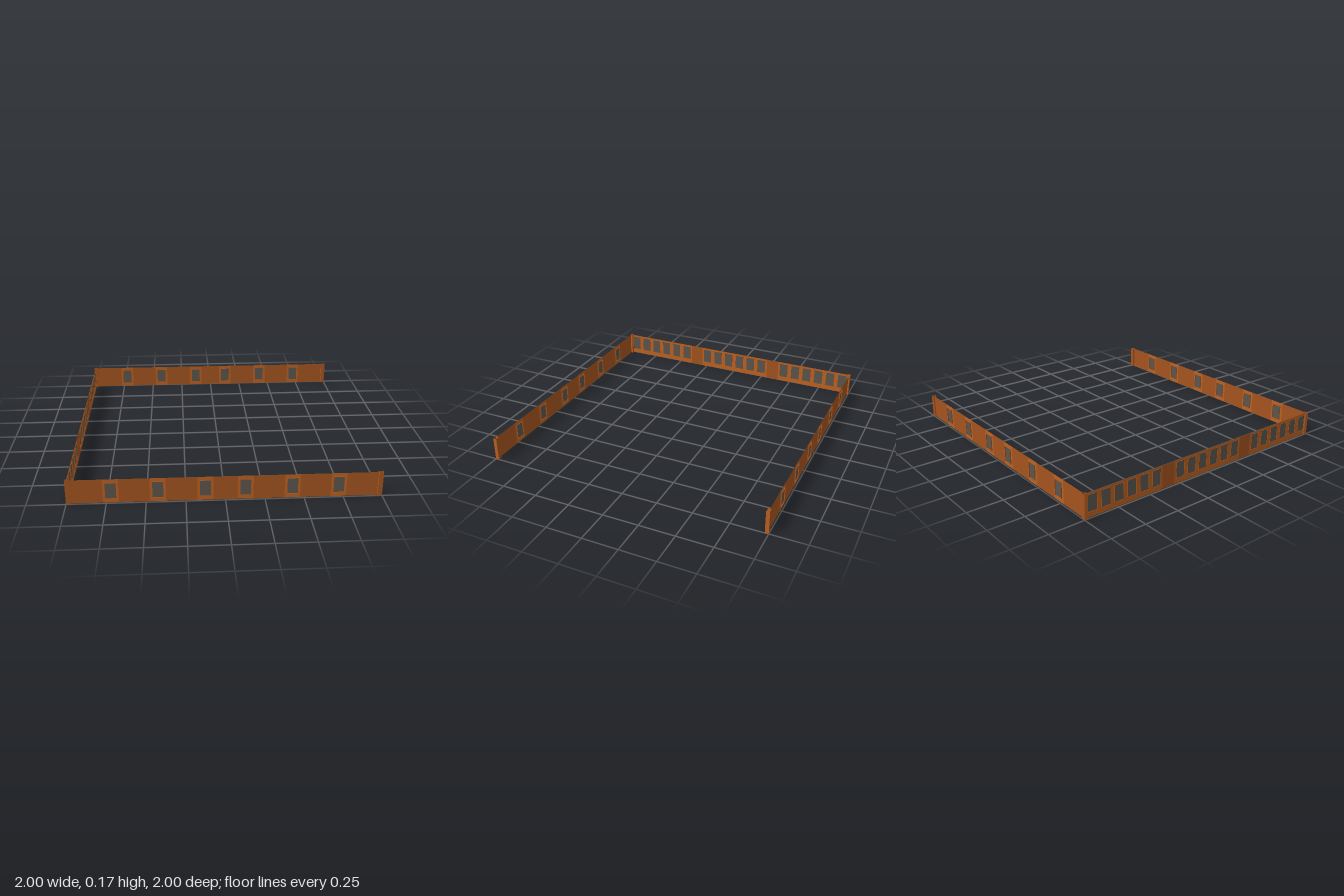
import * as THREE from 'three';

const H = 0.165;          // wall height
const PANEL = 0.1;        // width of one window panel

const paint = (name, color) => {
  const m = new THREE.MeshStandardMaterial({ color, side: THREE.DoubleSide });
  m.name = name;
  return m;
};

export function createModel() {
  const brown = paint('brown wall', 0xa3541f);
  const orange = paint('orange trim', 0xbf6120);
  const grey = paint('grey glass', 0x5c554e);

  const add = (parent, name, geometry, material, x = 0, y = 0, z = 0) => {
    const mesh = new THREE.Mesh(geometry, material);
    mesh.name = name;
    mesh.position.set(x, y, z);
    parent.add(mesh);
    return mesh;
  };

  // Thin upright sheet from x0 to x1
  const sheet = (parent, x0, x1) => {
    if (x1 - x0 > 0.002) {
      add(parent, 'plainWall', new THREE.PlaneGeometry(x1 - x0, H), brown, (x0 + x1) / 2, H / 2);
    }
  };

  // Panel with a framed opening and a pane of glass
  const windowPanel = (x, width, w, y0, y1, depth) => {
    const g = new THREE.Group();
    g.name = 'windowPanel';
    g.position.x = x;
    const h = y1 - y0, mid = (y0 + y1) / 2;
    const shape = new THREE.Shape([
      new THREE.Vector2(-width / 2, 0), new THREE.Vector2(width / 2, 0),
      new THREE.Vector2(width / 2, H), new THREE.Vector2(-width / 2, H)]);
    shape.holes.push(new THREE.Path([
      new THREE.Vector2(-w / 2, y0), new THREE.Vector2(-w / 2, y1),
      new THREE.Vector2(w / 2, y1), new THREE.Vector2(w / 2, y0)]));
    add(g, 'surround', new THREE.ShapeGeometry(shape), orange);
    add(g, 'glass', new THREE.PlaneGeometry(w, h), grey, 0, mid);
    for (const s of [-1, 1]) {
      add(g, 'sill', new THREE.PlaneGeometry(w, depth), brown, 0, mid + s * h / 2).rotation.x = -Math.PI / 2;
      add(g, 'jamb', new THREE.PlaneGeometry(depth, h), brown, s * w / 2, mid).rotation.y = Math.PI / 2;
    }
    return g;
  };

  // Wall along x: window panels with plain sheets filling the gaps
  const wall = (name, start, end, centres, width, w, y0, y1, depth) => {
    const g = new THREE.Group();
    g.name = name;
    let x = start;
    for (const c of centres) {
      sheet(g, x, c - width / 2);
      g.add(windowPanel(c, width, w, y0, y1, depth));
      x = c + width / 2;
    }
    sheet(g, x, end);
    return g;
  };

  const model = new THREE.Group();

  // Front and back walls with hollow end posts
  for (const s of [1, -1]) {
    const g = wall(s > 0 ? 'frontWall' : 'backWall', -0.97, 0.97,
      [-0.72, -0.425, -0.127, 0.127, 0.425, 0.72], PANEL, 0.068, 0.03, 0.14, 0.012);
    for (const e of [-1, 1]) {
      const post = new THREE.Group();
      post.name = 'endPost';
      post.position.set(e * 0.985, H / 2, -0.0025);
      for (const k of [-1, 1]) {
        add(post, 'postFace', new THREE.PlaneGeometry(0.03, H), brown, 0, 0, k * 0.0125);
        add(post, 'postSide', new THREE.PlaneGeometry(0.025, H), orange, k * 0.015).rotation.y = Math.PI / 2;
      }
      g.add(post);
    }
    g.position.z = s * 0.99;
    if (s < 0) g.rotation.y = Math.PI;
    model.add(g);
  }

  // Side wall: three banks of six windows
  const centres = [];
  for (const bank of [-0.69, 0, 0.69]) {
    for (let i = 0; i < 6; i++) centres.push(bank + (i - 2.5) * 0.0985);
  }
  const side = wall('sideWall', -0.985, 0.985, centres, 0.0985, 0.066, 0.037, 0.15, 0.006);
  side.rotation.y = -Math.PI / 2;
  side.position.x = -0.99;
  model.add(side);

  return model;
}
